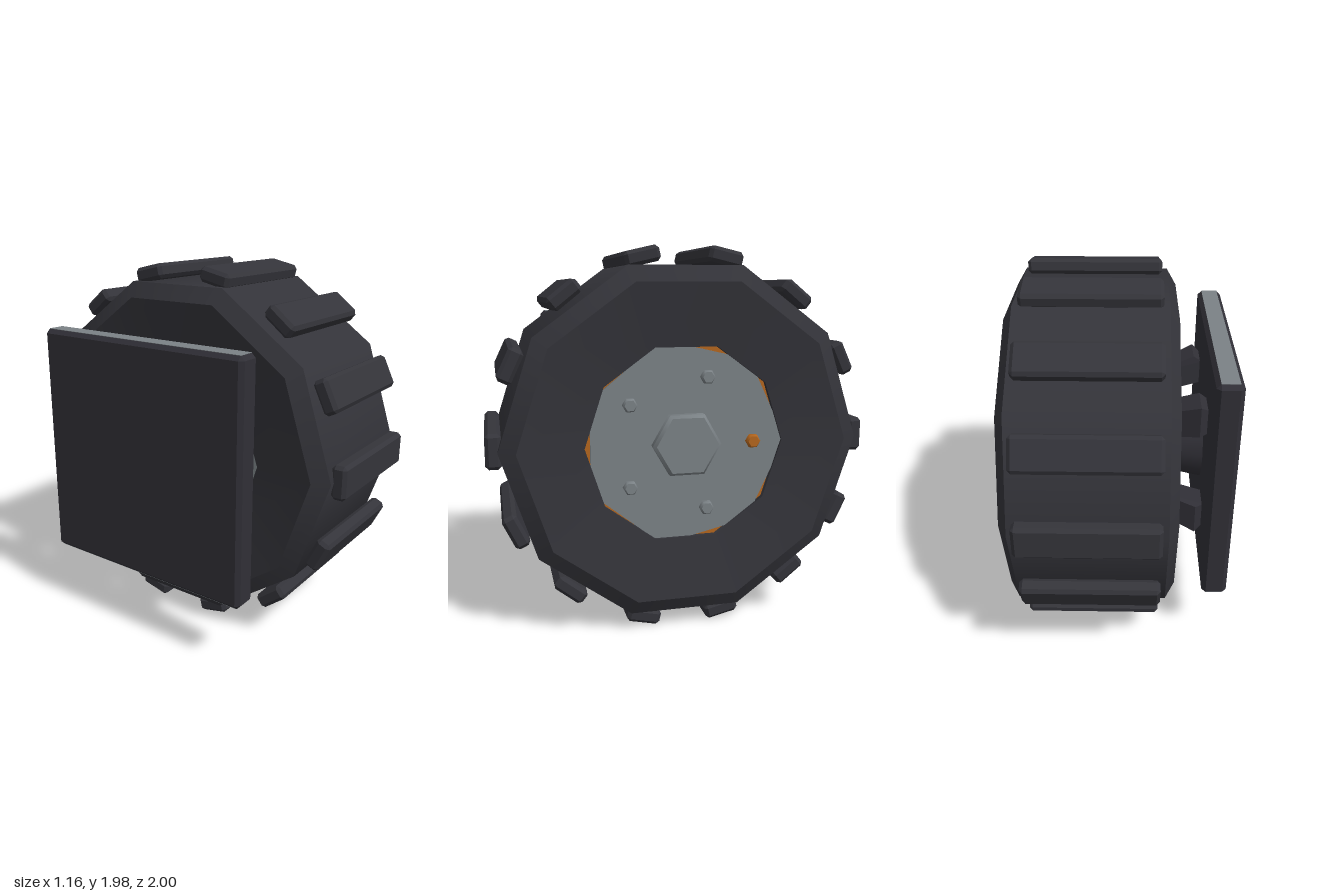
import * as THREE from 'three';
import { ConvexGeometry } from 'three/addons/geometries/ConvexGeometry.js';

const CY = 0.993; // height of the axle

const paint = (name, color) => {
  const m = new THREE.MeshStandardMaterial({ color });
  m.name = name;
  return m;
};

// Box with every edge chamfered by c
function chamferBox(w, h, d, c) {
  const pts = [];
  const half = [w / 2, h / 2, d / 2];
  for (const sx of [-1, 1]) for (const sy of [-1, 1]) for (const sz of [-1, 1]) {
    for (let axis = 0; axis < 3; axis++) {
      const p = half.map((v, i) => (i === axis ? v : v - c));
      pts.push(new THREE.Vector3(p[0] * sx, p[1] * sy, p[2] * sz));
    }
  }
  return new ConvexGeometry(pts);
}

// Cylinder along x between x0 and x1, with a corner at angle `start` from +z
function axleCylinder(x0, x1, r0, r1, sides, start = 0) {
  const g = new THREE.CylinderGeometry(r1, r0, x1 - x0, sides, 1, false, start);
  return g.rotateZ(-Math.PI / 2).translate((x0 + x1) / 2, 0, 0);
}

export function createModel() {
  const root = new THREE.Group();
  const wheel = new THREE.Group();
  wheel.name = 'wheel';
  wheel.position.y = CY;
  root.add(wheel);

  const rubber = paint('darkRubber', 0x34343a);
  const darkMetal = paint('darkMetal', 0x302f36);
  const grey = paint('greyMetal', 0x7b8286);
  const orange = paint('orangePaint', 0xb4661e);

  const add = (parent, name, geometry, material) => {
    const mesh = new THREE.Mesh(geometry, material);
    mesh.name = name;
    parent.add(mesh);
    return mesh;
  };

  // Ten-sided tyre: one smooth band per profile segment, sharp between bands
  const tyre = new THREE.Group();
  tyre.name = 'tyre';
  wheel.add(tyre);
  const profile = [
    [0.52, -0.24], [0.855, -0.29], [0.94, -0.24],
    [0.94, 0.53], [0.855, 0.58], [0.52, 0.53], [0.52, -0.24],
  ].map(([r, x]) => new THREE.Vector2(r, x));
  for (let i = 0; i < profile.length - 1; i++) {
    const band = new THREE.LatheGeometry([profile[i], profile[i + 1]], 10);
    add(tyre, 'tyreBand', band.rotateZ(-Math.PI / 2), rubber);
  }

  // Fourteen tread blocks
  const tread = chamferBox(0.71, 0.18, 0.08, 0.018);
  for (let i = 0; i < 14; i++) {
    const a = (i / 14) * Math.PI * 2;
    const block = add(wheel, 'treadBlock', tread, rubber);
    block.position.set(0.145, Math.sin(a) * 0.96, Math.cos(a) * 0.96);
    block.rotation.x = -a;
  }

  // Hub: orange rim behind a seven-sided grey cap, grey back disc
  add(wheel, 'rim', axleCylinder(-0.1, 0.505, 0.56, 0.56, 20), orange);
  add(wheel, 'hubCap', axleCylinder(0.3, 0.518, 0.544, 0.544, 7, Math.PI), grey);
  add(wheel, 'hubBack', axleCylinder(-0.18, -0.1, 0.54, 0.54, 20), grey);

  // Centre nut with a bevelled top
  add(wheel, 'centreNut', axleCylinder(0.5, 0.555, 0.18, 0.18, 6), grey).material.flatShading = false;
  add(wheel, 'centreNutTop', axleCylinder(0.555, 0.572, 0.18, 0.163, 6), grey);

  // Five bolts, the rear one marked in orange
  for (let i = 0; i < 5; i++) {
    const a = Math.PI + (i / 5) * Math.PI * 2;
    const bolt = new THREE.Group();
    bolt.name = 'bolt';
    bolt.position.set(0, Math.sin(a) * 0.36, Math.cos(a) * 0.36);
    wheel.add(bolt);
    const colour = i === 0 ? orange : grey;
    add(bolt, 'boltHead', axleCylinder(0.5, 0.54, 0.038, 0.038, 6), colour);
    add(bolt, 'boltTop', axleCylinder(0.54, 0.55, 0.038, 0.03, 6), colour);
  }

  // Mount: tapered axle and four corner legs behind the wheel
  add(wheel, 'axle', axleCylinder(-0.46, -0.15, 0.24, 0.18, 16), darkMetal);
  for (const sy of [-1, 1]) for (const sz of [-1, 1]) {
    const pts = [];
    for (const [x, inner, outer] of [[-0.46, 0.23, 0.36], [-0.41, 0.225, 0.395], [-0.15, 0.17, 0.3]]) {
      for (const y of [inner, outer]) for (const z of [inner, outer]) {
        pts.push(new THREE.Vector3(x, y * sy, z * sz));
      }
    }
    add(wheel, 'mountLeg', new ConvexGeometry(pts), darkMetal);
  }

  // Square mounting plate with grey top and bottom faces
  const plate = add(wheel, 'mountPlate', chamferBox(0.135, 1.285, 1.28, 0.022), darkMetal);
  plate.position.set(-0.515, 0.005, 0);
  for (const s of [-1, 1]) {
    const strip = add(plate, 'plateEdge', new THREE.BoxGeometry(0.091, 0.004, 1.236), grey);
    strip.position.y = s * 0.6425;
  }

  return root;
}
